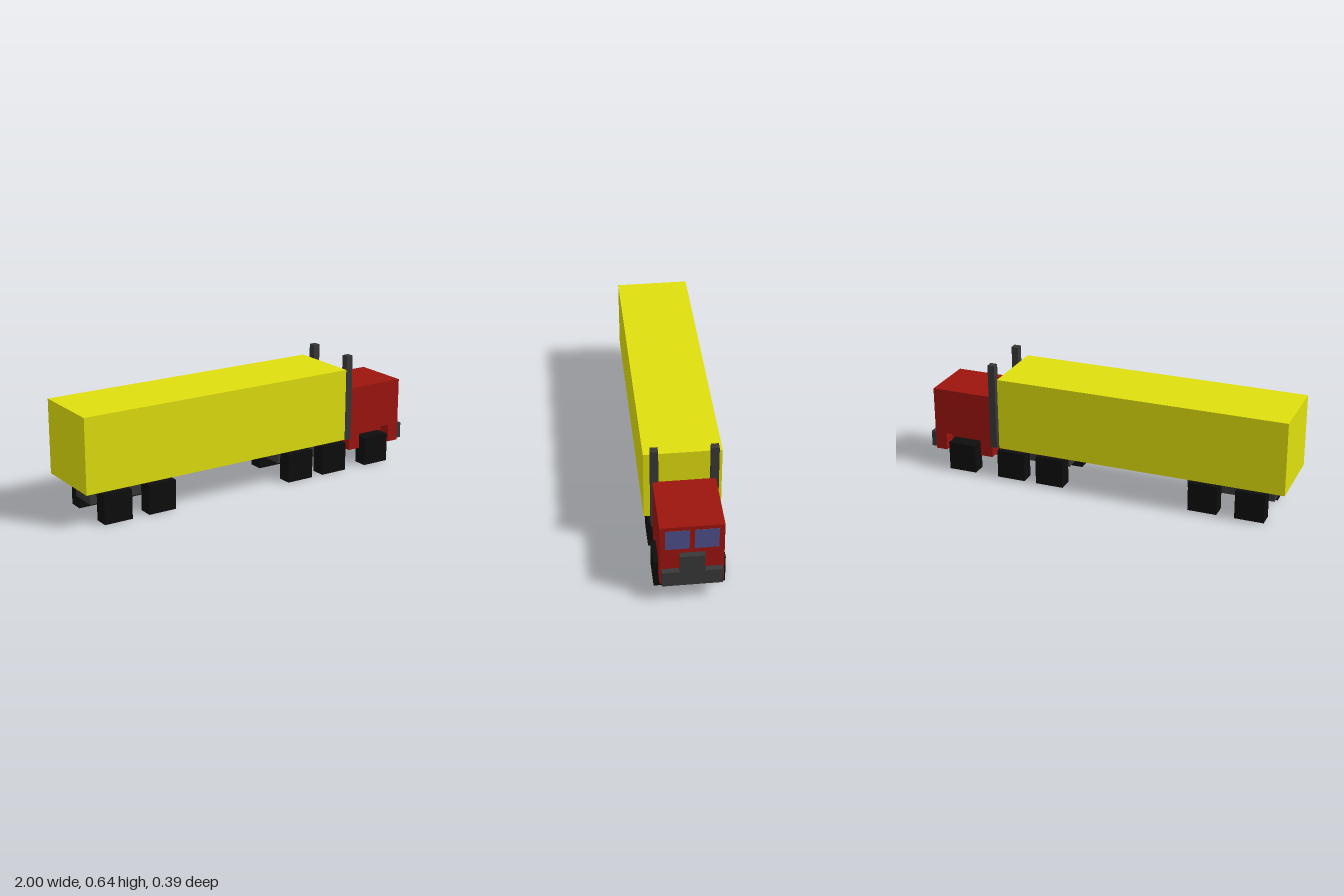
import * as THREE from 'three';

const paint = (color) => new THREE.MeshStandardMaterial({ color });

export function createModel() {
  const truck = new THREE.Group();
  truck.name = 'truck';

  const yellow = paint(0xdede0e);
  const red = paint(0x9c140e);
  const darkGrey = paint(0x383838);
  const black = paint(0x0d0d0d);
  const glass = paint(0x4f4f8a);

  // Box given by its extents along each axis
  function box(name, material, [x0, x1], [y0, y1], [z0, z1], parent = truck) {
    const mesh = new THREE.Mesh(new THREE.BoxGeometry(x1 - x0, y1 - y0, z1 - z0), material);
    mesh.position.set((x0 + x1) / 2, (y0 + y1) / 2, (z0 + z1) / 2);
    mesh.name = name;
    parent.add(mesh);
    return mesh;
  }

  // Flat outline extruded along +z
  function extrude(name, material, points, depth, parent) {
    const shape = new THREE.Shape(points.map(([x, y]) => new THREE.Vector2(x, y)));
    const geometry = new THREE.ExtrudeGeometry(shape, { depth, bevelEnabled: false });
    const mesh = new THREE.Mesh(geometry, material);
    mesh.name = name;
    parent.add(mesh);
    return mesh;
  }

  // Trailer and frames
  box('trailer', yellow, [-1, 0.568], [0.181, 0.574], [-0.195, 0.195]);
  box('trailerFrame', darkGrey, [-0.922, -0.455], [0.08, 0.19], [-0.078, 0.078]);
  box('tractorFrame', darkGrey, [0.21, 0.92], [0.08, 0.195], [-0.078, 0.078]);

  // Cab: a full-length core with side panels notched for the front wheels
  const cab = new THREE.Group();
  cab.name = 'cab';
  truck.add(cab);
  const coreZ = 0.09, sideZ = 0.156;
  box('cabCore', red, [0.63, 0.97], [0.1, 0.452], [-coreZ, coreZ], cab);
  const sideOutline = [
    [0.63, 0.1], [0.7, 0.1], [0.7, 0.198], [0.905, 0.198],
    [0.905, 0.1], [0.97, 0.1], [0.97, 0.452], [0.63, 0.452],
  ];
  for (const [name, z] of [['leftCabSide', -sideZ], ['rightCabSide', coreZ]]) {
    extrude(name, red, sideOutline, sideZ - coreZ, cab).position.z = z;
  }

  // Windscreen panes
  for (const [name, z] of [['leftWindow', -0.071], ['rightWindow', 0.071]]) {
    box(name, glass, [0.96, 0.972], [0.316, 0.43], [z - 0.059, z + 0.059], cab);
  }

  // Stepped grille and bumper, turned to face the front of the cab
  const grille = extrude('grille', darkGrey, [
    [-0.148, 0.107], [0.148, 0.107], [0.148, 0.193], [0.061, 0.193],
    [0.061, 0.29], [-0.061, 0.29], [-0.061, 0.193], [-0.148, 0.193],
  ], 0.03, cab);
  grille.rotation.y = Math.PI / 2;
  grille.position.x = 0.97;

  // Exhaust stacks
  box('leftExhaust', darkGrey, [0.594, 0.632], [0.167, 0.638], [-0.171, -0.132]);
  box('rightExhaust', darkGrey, [0.594, 0.632], [0.167, 0.638], [0.126, 0.165]);

  // Square wheels, a pair per axle
  for (const x of [-0.818, -0.567, 0.288, 0.512, 0.802]) {
    for (const side of [-1, 1]) {
      const z = side * 0.1375;
      box('wheel', black, [x - 0.078, x + 0.078], [0, 0.157], [z - 0.0395, z + 0.0395]);
    }
  }
  return truck;
}
